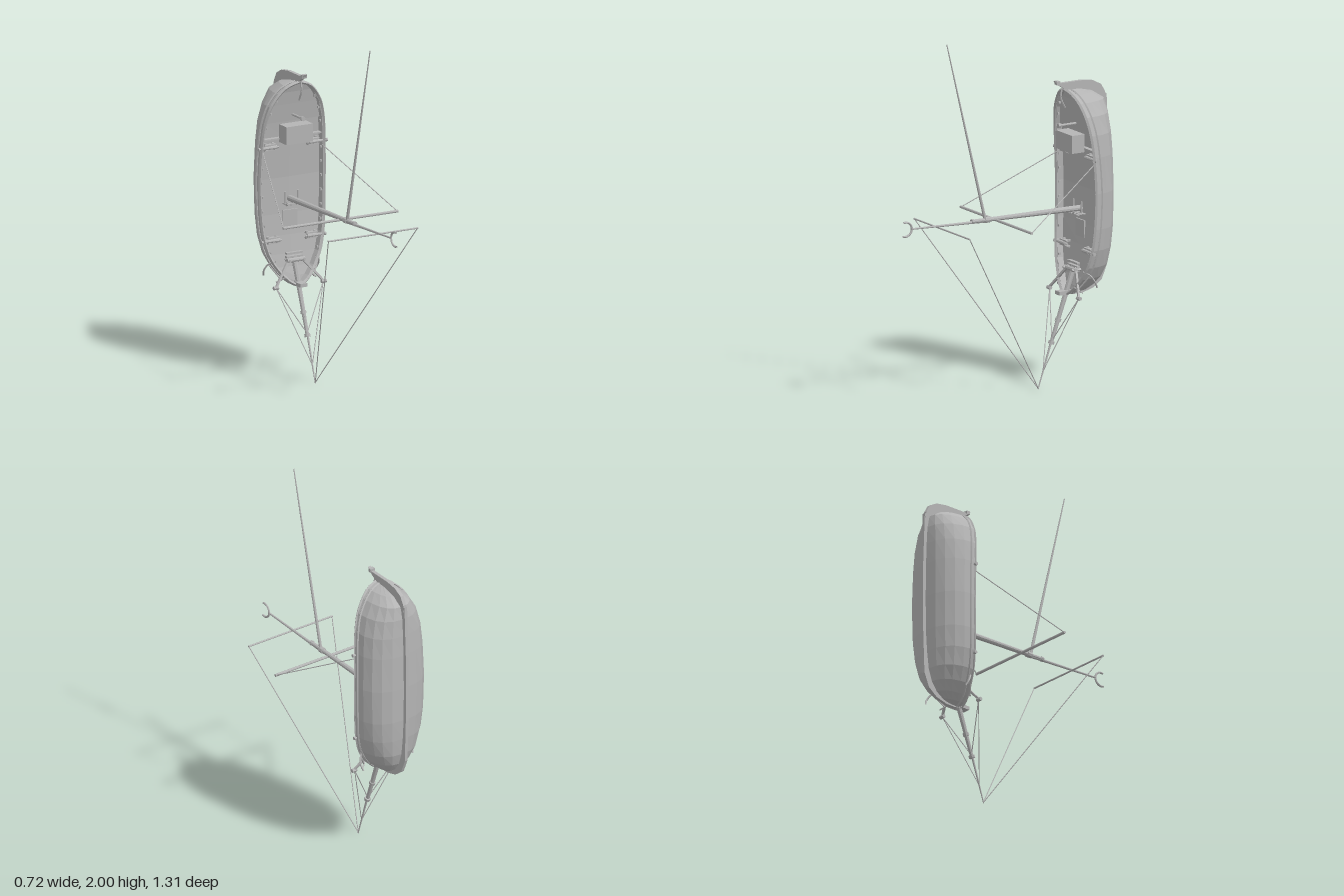
import * as THREE from 'three';

const V = (x, y, z) => new THREE.Vector3(x, y, z);

// hull stations, bow (low y) to stern: y, half width, rail z, bottom z
const stations = [
  [.515, .006, -.395, -.48], [.53, .045, -.4, -.525], [.56, .08, -.408, -.57], [.61, .122, -.425, -.605],
  [.68, .162, -.44, -.628], [.78, .19, -.455, -.64], [.9, .202, -.465, -.648], [1.1, .207, -.47, -.65],
  [1.3, .2, -.46, -.647], [1.42, .188, -.448, -.643], [1.52, .16, -.432, -.637], [1.59, .115, -.418, -.622],
  [1.63, .07, -.405, -.56], [1.652, .006, -.395, -.47],
];

// interpolated station at height y
function at(y) {
  let i = 0;
  while (i < stations.length - 2 && stations[i + 1][0] < y) i++;
  const a = stations[i], b = stations[i + 1], t = (y - a[0]) / (b[0] - a[0]);
  return a.map((v, k) => v + (b[k] - v) * t);
}

// surface through rows of points
function surface(rows) {
  const n = rows[0].length, pos = [], idx = [];
  rows.forEach(r => r.forEach(p => pos.push(p.x, p.y, p.z)));
  for (let i = 0; i < rows.length - 1; i++) {
    for (let j = 0; j < n - 1; j++) {
      const a = i * n + j, b = a + n;
      idx.push(a, a + 1, b, b, a + 1, b + 1);
    }
  }
  const g = new THREE.BufferGeometry();
  g.setAttribute('position', new THREE.Float32BufferAttribute(pos, 3));
  g.setIndex(idx);
  g.computeVertexNormals();
  return g;
}

export function createModel() {
  const model = new THREE.Group();
  model.name = 'sailingShip';
  const grey = new THREE.MeshStandardMaterial({ color: 0xb4b4b4, flatShading: true, side: THREE.DoubleSide });
  grey.name = 'plain grey';

  const add = (name, geo) => {
    const m = new THREE.Mesh(geo, grey);
    m.name = name;
    model.add(m);
    return m;
  };
  const box = (name, w, h, d, x, y, z) => {
    const m = add(name, new THREE.BoxGeometry(w, h, d));
    m.position.set(x, y, z);
    return m;
  };
  const rod = (name, a, b, r0, r1 = r0, seg = 8) => {
    const d = b.clone().sub(a);
    const m = add(name, new THREE.CylinderGeometry(r1, r0, d.length(), seg));
    m.position.copy(a).addScaledVector(d, .5);
    m.quaternion.setFromUnitVectors(V(0, 1, 0), d.normalize());
    return m;
  };
  const tube = (name, pts, r, n, seg = 5, closed = false) =>
    add(name, new THREE.TubeGeometry(new THREE.CatmullRomCurve3(pts, closed), n, r, seg, closed));
  // plate cut in the centre plane from [z, y] points
  const plate = (name, pts, thick) => {
    const shape = new THREE.Shape(pts.map(p => new THREE.Vector2(...p)));
    const g = new THREE.ExtrudeGeometry(shape, { depth: thick, bevelEnabled: false });
    add(name, g.rotateY(-Math.PI / 2).translate(thick / 2, 0, 0));
  };

  // faceted planked hull
  const N = 10;
  add('hull', surface(stations.map(([y, w, s, b]) => Array.from({ length: N + 1 }, (_, j) => {
    const t = j / N * Math.PI, c = Math.cos(t);
    return V(Math.sign(c) * w * Math.abs(c) ** .8, y, s + (b - s) * Math.max(0, Math.sin(t)) ** .85);
  }))));

  // bulwark lining and deck
  add('bulwarkAndDeck', surface(stations.map(([y, w, s]) => {
    const wi = Math.max(w - .014, .002), wd = Math.max(w - .018, .001), d = s - .035;
    return [V(-w, y, s), V(-wi, y, s), V(-wd, y, d), V(0, y, d + .004), V(wd, y, d), V(wi, y, s), V(w, y, s)];
  })));
  add('poopDeck', surface(stations.filter(s => s[0] > 1.33).map(([y, w, s]) =>
    [V(-Math.max(w - .015, 0), y, s - .022), V(Math.max(w - .015, 0), y, s - .022)])));
  box('poopStep', .36, .008, .03, 0, 1.33, -.478);

  // rails running round the hull
  const loop = (out, dz) => [
    ...stations.map(([y, w, s]) => V(w + out, y, s + dz)),
    ...stations.slice().reverse().map(([y, w, s]) => V(-w - out, y, s + dz)),
  ];
  tube('capRail', loop(-.005, .002), .009, 90, 4, true);
  tube('wale', loop(.001, -.03), .006, 90, 4, true);

  // keel with stem, and stern fin with rudder head
  plate('keel', [[-.385, .518], [-.44, .508], [-.5, .509], [-.57, .528], [-.625, .57], [-.658, .65], [-.667, .9],
    [-.667, 1.3], [-.655, 1.6], [-.62, 1.58], [-.635, 1.3], [-.635, 1], [-.61, .68], [-.56, .59], [-.48, .54],
    [-.39, .53]], .018);
  plate('rudder', [[-.325, 1.708], [-.35, 1.692], [-.5, 1.692], [-.57, 1.682], [-.62, 1.655], [-.645, 1.61],
    [-.65, 1.57], [-.6, 1.585], [-.5, 1.62], [-.41, 1.645], [-.37, 1.668], [-.335, 1.69]], .02);
  box('rudderHead', .03, .02, .02, 0, 1.695, -.345);
  tube('tiller', [V(0, 1.66, -.375), V(0, 1.61, -.368), V(0, 1.55, -.395)], .005, 10);

  // deck fittings
  box('cabin', .165, .1, .08, 0, 1.36, -.428);
  box('hatch', .09, .095, .012, 0, .87, -.495);
  rod('steeringPost', V(0, 1.455, -.47), V(0, 1.455, -.36), .007);
  rod('steeringPostCap', V(0, 1.455, -.362), V(0, 1.455, -.35), .013);
  box('fifeRail', .09, .012, .01, 0, .955, -.455);
  for (let i = -1; i <= 1; i++) box('windlassBeam', .1, .01, .02, 0, .665 + i * .02, -.45);
  rod('windlassDrum', V(-.055, .65, -.43), V(.055, .65, -.43), .012);

  // mast, topmast, crescent and long spar
  rod('lowerMast', V(0, .98, -.5), V(0, .994, .2), .017, .011, 10);
  rod('topmast', V(0, .985, .09), V(0, 1.004, .59), .009, .005);
  rod('mastCap', V(0, .992, .09), V(0, .992, .12), .017);
  rod('mastBand', V(0, .994, .19), V(0, .994, .205), .014);
  const horns = [];
  for (let i = 0; i <= 10; i++) {
    const t = Math.PI * (.42 + i / 10 * 1.2);
    horns.push(V(0, 1.005 + .04 * Math.sin(t), .628 + .042 * Math.cos(t)));
  }
  tube('crescent', horns, .006, 20, 6);
  rod('longSpar', V(0, .985, .115), V(0, 2, .362), .009, .003);

  // yards
  rod('mainYard', V(-.36, .982, .045), V(.36, .982, .045), .008);
  rod('topYard', V(-.282, .978, .393), V(.282, .978, .393), .005);

  // bowsprit and jib boom
  rod('bowsprit', V(0, .66, -.45), V(0, .25, -.305), .016, .01);
  rod('jibBoom', V(0, .38, -.345), V(0, .005, -.222), .008, .003);
  for (const [y, z] of [[.52, -.4], [.375, -.35], [.255, -.307]])
    rod('bowspritBand', V(0, y + .008, z - .003), V(0, y - .008, z + .003), .017);
  box('bowBlock', .045, .02, .06, 0, .525, -.375);

  for (const s of [-1, 1]) {
    // rigging lines
    rod('mainBrace', V(s * .357, .982, .045), V(s * .186, 1.262, -.465), .0028, .0028, 5);
    rod('topBrace', V(s * .28, .978, .393), V(0, .01, -.223), .0028, .0028, 5);
    rod('bowStay', V(s * .148, .52, -.39), V(0, .265, -.31), .0028, .0028, 5);
    rod('boomStay', V(s * .148, .52, -.39), V(0, .1, -.253), .0025, .0025, 5);

    // cathead with hanging anchor
    rod('cathead', V(s * .035, .66, -.44), V(s * .155, .515, -.385), .009, .008, 4);
    rod('catheadBlock', V(s * .135, .52, -.388), V(s * .165, .52, -.388), .011, .011, 6);
    rod('anchorShank', V(s * .1, .55, -.41), V(s * .155, .635, -.455), .004);
    tube('anchorArms', [V(s * .125, .655, -.43), V(s * .155, .64, -.455), V(s * .172, .6, -.48),
      V(s * .165, .57, -.495)], .005, 12);
    rod('anchorStock', V(s * .085, .565, -.4), V(s * .125, .54, -.43), .004);

    // guns on carriages
    for (const y of [1.285, .765]) {
      const [, w, rail] = at(y), z = rail - .003;
      rod('gunBarrel', V(s * (w - .1), y, z), V(s * (w + .014), y, z), .011, .007);
      rod('gunMuzzle', V(s * (w + .006), y, z), V(s * (w + .016), y, z), .01);
      rod('gunKnob', V(s * (w - .112), y, z), V(s * (w - .1), y, z), .005);
      for (const k of [-1, 1]) {
        box('gunCarriage', .07, .006, .024, s * (w - .065), y + k * .014, z - .015);
        for (const dx of [.04, .09])
          rod('gunWheel', V(s * (w - dx), y + k * .016, z - .024), V(s * (w - dx), y + k * .022, z - .024), .008);
      }
    }

    // belaying pins and mast bitts
    for (const y of [.7, .85, .93, 1.01, 1.09, 1.17, 1.25, 1.4, 1.48, 1.55]) {
      const [, w, rail] = at(y);
      box('belayingPin', .008, .012, .012, s * (w - .022), y, rail - .008);
    }
    for (const x of [.018, .04]) rod('mastBitt', V(s * x, .955, -.5), V(s * x, .955, -.44), .005, .005, 6);
    rod('mastTackle', V(s * .04, .96, -.475), V(s * .04, 1.025, -.475), .005, .005, 6);
    rod('windlassPost', V(s * .045, .65, -.475), V(s * .045, .65, -.41), .008, .008, 4);
  }
  return model;
}
